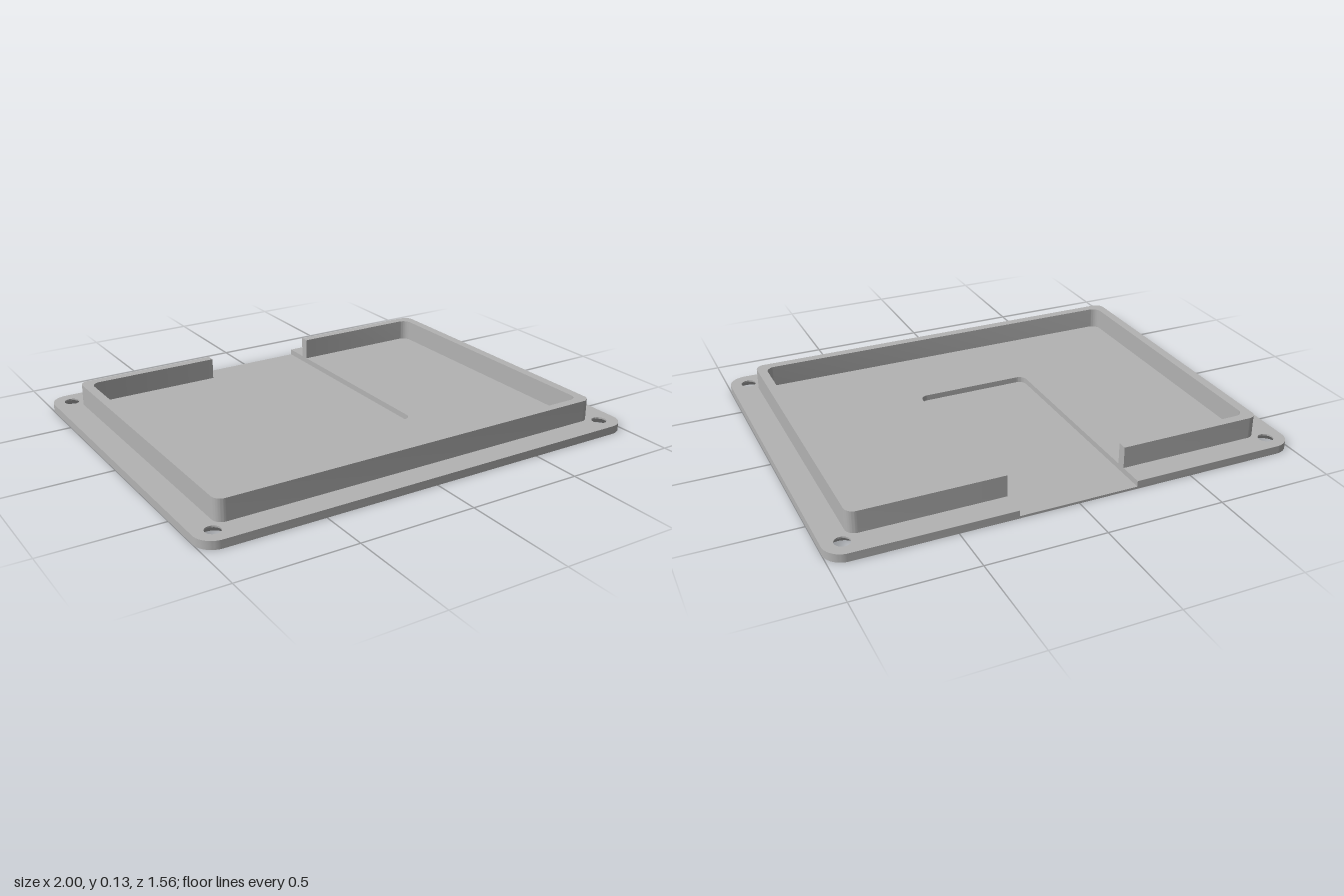
import * as THREE from 'three';
import { toCreasedNormals } from 'three/addons/utils/BufferGeometryUtils.js';

const W = 1, D = 0.78;              // half size of the base plate
const SLOT = 0.255, SLOT_END = 0.25; // half width and front end of the channel
const FLOOR = 0.01, PLATE = 0.035, TOP = 0.128;
const HOLE_X = 0.92, HOLE_Z = 0.7, HOLE_R = 0.032, SINK_R = 0.06;

// Closed outline with a corner radius per point: [x, z, radius]
function outline(points) {
  const s = new THREE.Shape();
  const n = points.length;
  points.forEach(([x, z, r], i) => {
    const p = new THREE.Vector2(x, -z);
    const towards = ([qx, qz]) =>
      new THREE.Vector2(qx, -qz).sub(p).normalize().multiplyScalar(r).add(p);
    const a = towards(points[(i + n - 1) % n]);
    const b = towards(points[(i + 1) % n]);
    if (i === 0) s.moveTo(a.x, a.y); else s.lineTo(a.x, a.y);
    if (r > 0) {
      const k = 0.5523; // circular corner
      const c1 = a.clone().lerp(p, k), c2 = b.clone().lerp(p, k);
      s.bezierCurveTo(c1.x, c1.y, c2.x, c2.y, b.x, b.y);
    }
  });
  s.closePath();
  return s;
}

// Extrude an outline upwards from y0 to y1
function slab(shape, y0, y1) {
  const g = new THREE.ExtrudeGeometry(shape, { depth: y1 - y0, bevelEnabled: false, curveSegments: 16 });
  g.rotateX(-Math.PI / 2).translate(0, y0, 0);
  return toCreasedNormals(g, 0.6);
}

export function createModel() {
  const group = new THREE.Group();
  const grey = new THREE.MeshStandardMaterial({ color: 0xb3b3b3 });
  const add = (name, geometry) => {
    const mesh = new THREE.Mesh(geometry, grey);
    mesh.name = name;
    group.add(mesh);
    return mesh;
  };
  const corners = [[1, 1], [-1, 1], [-1, -1], [1, -1]];
  const drill = (shape) => {
    for (const [sx, sz] of corners) {
      shape.holes.push(new THREE.Path().absarc(sx * HOLE_X, sz * HOLE_Z, SINK_R, 0, Math.PI * 2, true));
    }
    return shape;
  };

  // Thin floor that also forms the bottom of the channel
  const floor = outline(corners.map(([sx, sz]) => [sx * W, sz * D, 0.08]));
  add('baseFloor', slab(drill(floor), 0, FLOOR));

  // Upper plate with the channel open to the back
  const plate = outline([
    [W, D, 0.08], [-W, D, 0.08], [-W, -D, 0.08], [-SLOT, -D, 0],
    [-SLOT, SLOT_END, 0.035], [SLOT, SLOT_END, 0.035], [SLOT, -D, 0], [W, -D, 0.08],
  ]);
  add('basePlate', slab(drill(plate), FLOOR, PLATE));

  // Raised rim, interrupted by the channel
  const ox = 0.89, oz = 0.67, ix = 0.85, iz = 0.63, r = 0.04;
  const rim = outline([
    [ox, oz, r], [-ox, oz, r], [-ox, -oz, r], [-SLOT, -oz, 0], [-SLOT, -iz, 0],
    [-ix, -iz, r], [-ix, iz, r], [ix, iz, r], [ix, -iz, r],
    [SLOT, -iz, 0], [SLOT, -oz, 0], [ox, -oz, r],
  ]);
  add('rim', slab(rim, PLATE, TOP));

  // Screw holes, countersunk from below
  const profile = [[SINK_R, PLATE], [HOLE_R, PLATE], [HOLE_R, 0.028], [SINK_R, 0]];
  const sink = toCreasedNormals(
    new THREE.LatheGeometry(profile.map(([x, y]) => new THREE.Vector2(x, y)), 32), 0.5);
  for (const [sx, sz] of corners) {
    add('screwHole', sink).position.set(sx * HOLE_X, 0, sz * HOLE_Z);
  }
  return group;
}
